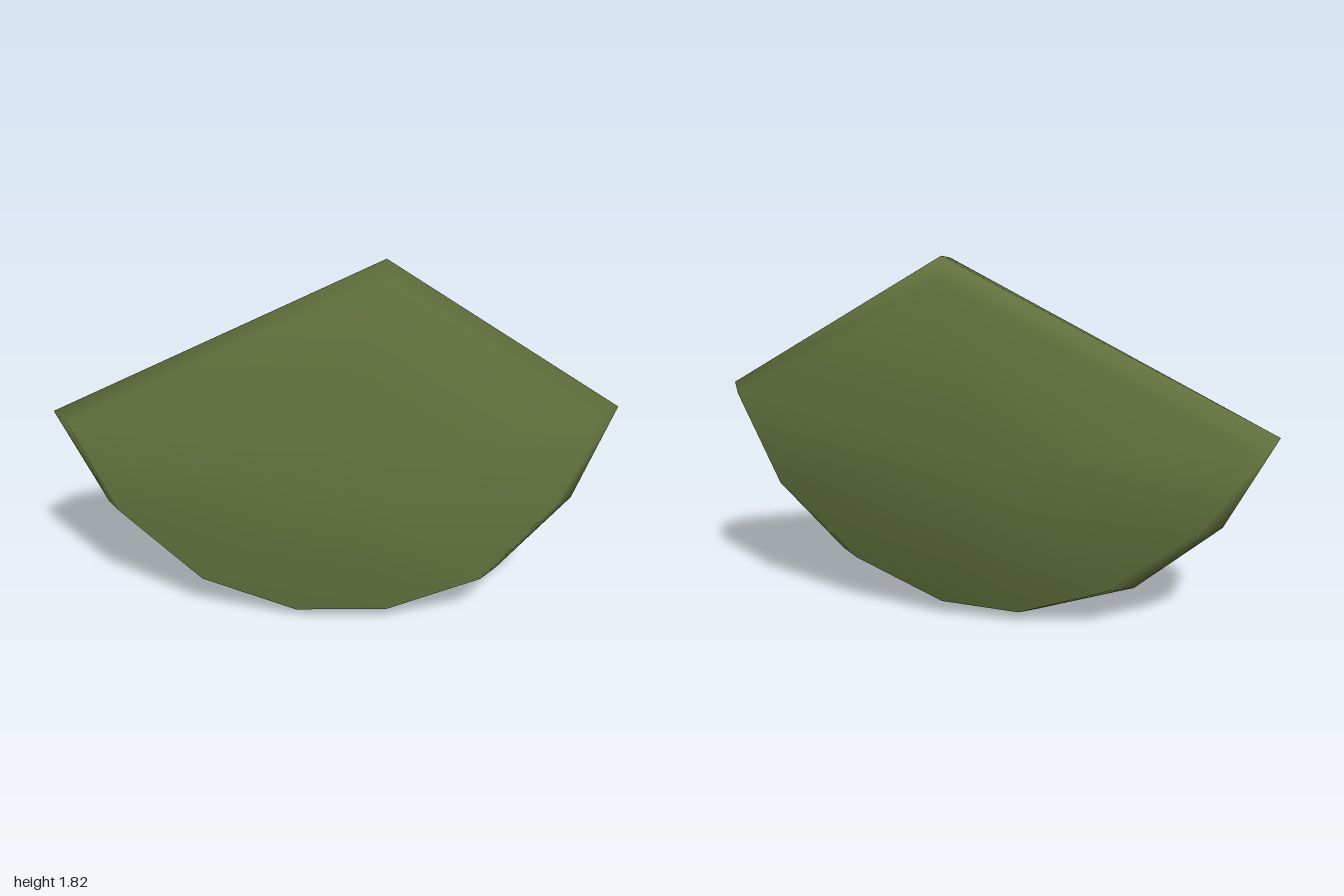
import * as THREE from 'three';

// Each section is a loop of [x + z, height]: left corner, rounded lower edge, right corner, apex.
const FRONT = [[-1.77, 1.03], [-1.47, 0.58], [-0.9, 0.21], [-0.24, 0.05], [0.4, 0.07],
  [1.05, 0.26], [1.53, 0.68], [1.77, 1.14], [0.34, 1.79]];
const RIM = [[-1.91, 1.03], [-1.57, 0.55], [-0.98, 0.18], [-0.26, 0], [0.44, 0.03],
  [1.17, 0.25], [1.65, 0.65], [1.91, 1.13], [0.35, 1.82]];
const BACK = [[-1.76, 1.01], [-1.42, 0.57], [-0.84, 0.23], [-0.2, 0.06], [0.36, 0.08],
  [0.98, 0.28], [1.52, 0.66], [1.78, 1.12], [0.32, 1.72]];

// The slab stands diagonally and leans slightly back with height.
function place([across, y], depth) {
  const d = depth + 0.1 * y;
  return [(across + d) / 2, y, (across - d) / 2];
}

function slabGeometry() {
  const layers = [[FRONT, -0.32], [RIM, -0.14], [BACK, 0.1]];
  const n = RIM.length;
  const positions = [];
  const index = [];
  for (const [loop, depth] of layers) {
    for (const p of loop) positions.push(...place(p, depth));
  }
  // Centres of the two broad faces
  positions.push(...place([0.05, 0.85], -0.325), ...place([0.05, 0.85], 0.105));
  const frontCentre = 3 * n;
  const backCentre = 3 * n + 1;
  for (let i = 0; i < n; i++) {
    const j = (i + 1) % n;
    index.push(frontCentre, i, j, backCentre, 2 * n + j, 2 * n + i);
    // Bevels from the front face to the rim and on to the back face
    for (let k = 0; k < 2; k++) {
      const a = k * n;
      const b = a + n;
      index.push(a + i, b + i, b + j, a + i, b + j, a + j);
    }
  }
  const geometry = new THREE.BufferGeometry();
  geometry.setAttribute('position', new THREE.Float32BufferAttribute(positions, 3));
  geometry.setIndex(index);
  geometry.computeVertexNormals();
  return geometry;
}

export function createModel() {
  const group = new THREE.Group();
  group.name = 'fanSlab';
  const olive = new THREE.MeshStandardMaterial({ color: 0x65753f });
  olive.name = 'olive green';
  const slab = new THREE.Mesh(slabGeometry(), olive);
  slab.name = 'wedgeSlab';
  group.add(slab);
  return group;
}
